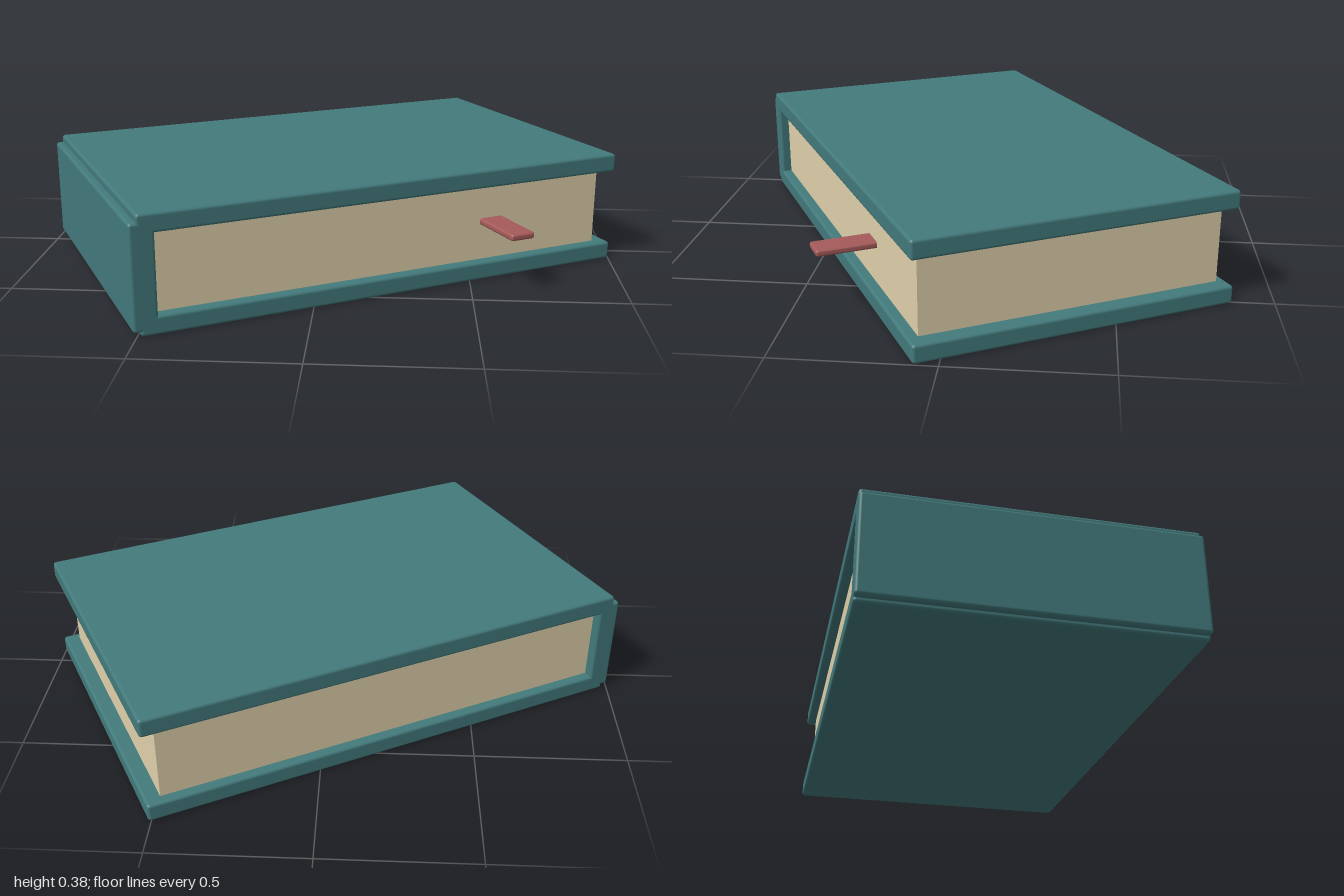
import * as THREE from 'three';
import { RoundedBoxGeometry } from 'three/addons/geometries/RoundedBoxGeometry.js';

const material = (name, color) => {
  const m = new THREE.MeshStandardMaterial({ color });
  m.name = name;
  return m;
};

export function createModel() {
  const cloth = material('teal cloth', 0x437a7c);
  const paper = material('cream paper', 0xdfd1ab);
  const ribbon = material('red ribbon', 0xa65a5a);

  const model = new THREE.Group();
  model.name = 'closedBook';
  const book = new THREE.Group();
  book.name = 'book';
  book.rotation.y = 0.485; // lies turned on the table
  model.add(book);

  // Box given by its lower and upper corners, edges softened when r > 0
  const block = (name, mat, [x0, y0, z0], [x1, y1, z1], r) => {
    const size = [x1 - x0, y1 - y0, z1 - z0];
    const geo = r ? new RoundedBoxGeometry(...size, 2, r) : new THREE.BoxGeometry(...size);
    const mesh = new THREE.Mesh(geo, mat);
    mesh.name = name;
    mesh.position.set((x0 + x1) / 2, (y0 + y1) / 2, (z0 + z1) / 2);
    book.add(mesh);
  };

  // Two boards, joined by a spine that stands slightly proud of them
  block('bottomCover', cloth, [-0.83, 0, -0.532], [0.853, 0.06, 0.532], 0.01);
  block('topCover', cloth, [-0.83, 0.316, -0.532], [0.853, 0.378, 0.532], 0.01);
  block('spine', cloth, [-0.853, 0.014, -0.532], [-0.775, 0.352, 0.532], 0.01);

  // Page block, set back from the board edges
  block('pages', paper, [-0.78, 0.055, -0.5], [0.802, 0.32, 0.497], 0);

  // Bookmark ribbon hanging out of the front edge
  block('bookmark', ribbon, [0.337, 0.181, 0.4], [0.424, 0.203, 0.69], 0.008);

  return model;
}
